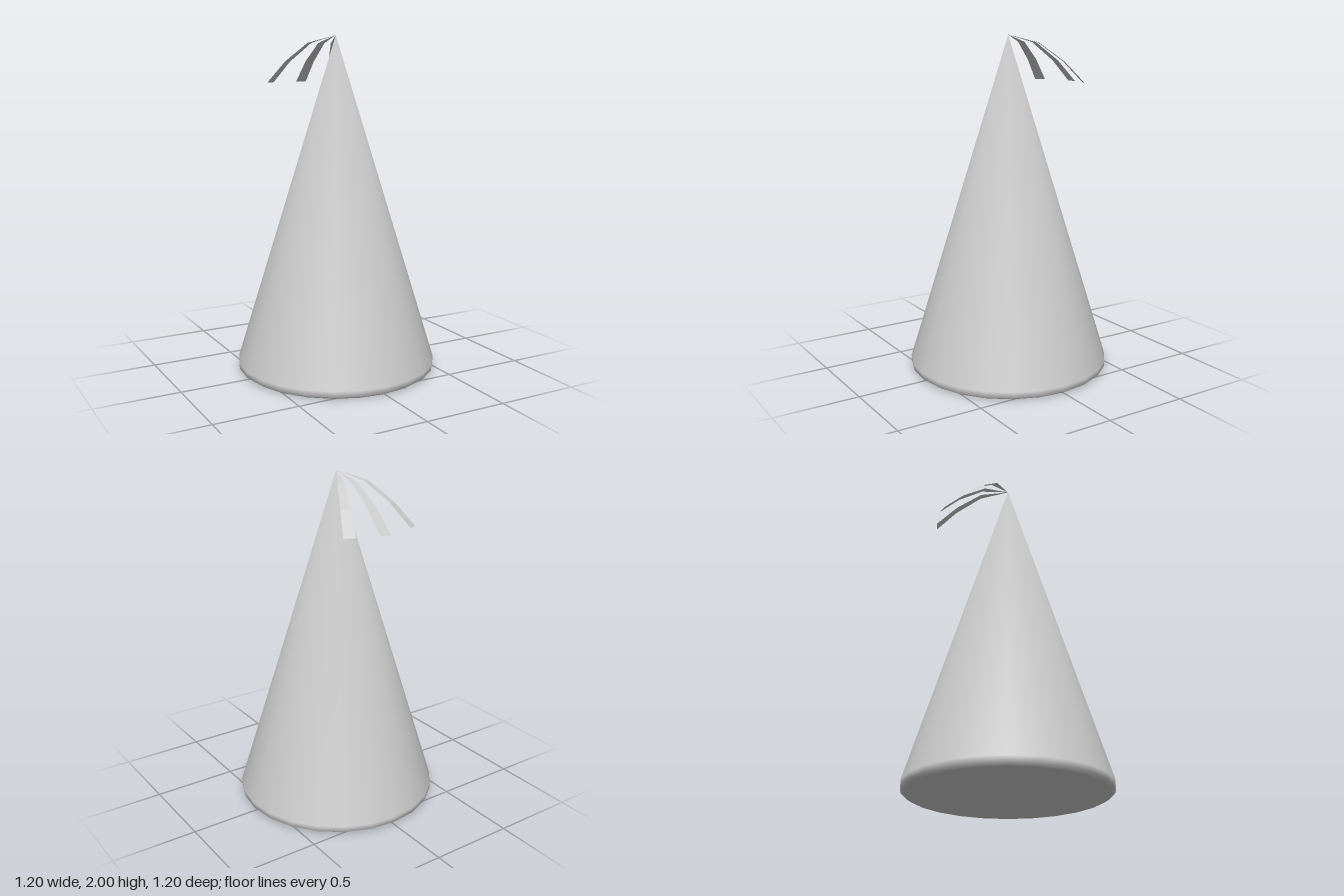
import * as THREE from 'three';
import { mergeVertices } from 'three/addons/utils/BufferGeometryUtils.js';

// Closed cone with a small rounded rim, smooth shaded all over
function coneGeometry() {
  const profile = [[0, 0], [0.575, 0], [0.597, 0.015], [0.6, 0.05], [0, 2]]
    .map(([r, y]) => new THREE.Vector2(r, y));
  const lathe = new THREE.LatheGeometry(profile, 24);
  lathe.deleteAttribute('uv');
  lathe.deleteAttribute('normal');
  const geometry = mergeVertices(lathe, 1e-4);
  geometry.computeVertexNormals();
  return geometry;
}

// Thin ribbon widening from the tip and drooping toward the back
function ribbonGeometry(length) {
  const sections = [[0, 2, 0], [0.39, 1.957, 0.021], [0.73, 1.846, 0.029], [1, 1.72, 0.034]];
  const positions = [];
  const index = [];
  sections.forEach(([t, y, halfWidth], i) => {
    positions.push(-halfWidth, y, -t * length, halfWidth, y, -t * length);
    if (i === 0) return;
    const a = (i - 1) * 2;
    if (i > 1) index.push(a, a + 1, a + 2);
    index.push(a + 1, a + 3, a + 2);
  });
  const geometry = new THREE.BufferGeometry();
  geometry.setAttribute('position', new THREE.Float32BufferAttribute(positions, 3));
  geometry.setIndex(index);
  geometry.computeVertexNormals();
  return geometry;
}

export function createModel() {
  const group = new THREE.Group();
  group.name = 'partyHat';

  const cone = new THREE.Mesh(coneGeometry(), new THREE.MeshStandardMaterial({ color: 0xcccccc }));
  cone.name = 'hatCone';
  group.add(cone);

  // Three streamers fanned out from the tip
  const ribbonMaterial = new THREE.MeshStandardMaterial({
    color: 0xcccccc, flatShading: true, side: THREE.DoubleSide,
  });
  const streamers = [
    ['rightStreamer', 31.4, 0.463],
    ['middleStreamer', 0, 0.463],
    ['leftStreamer', -25.7, 0.45],
  ];
  for (const [name, degrees, length] of streamers) {
    const ribbon = new THREE.Mesh(ribbonGeometry(length), ribbonMaterial);
    ribbon.name = name;
    ribbon.rotation.y = THREE.MathUtils.degToRad(degrees);
    group.add(ribbon);
  }
  return group;
}
